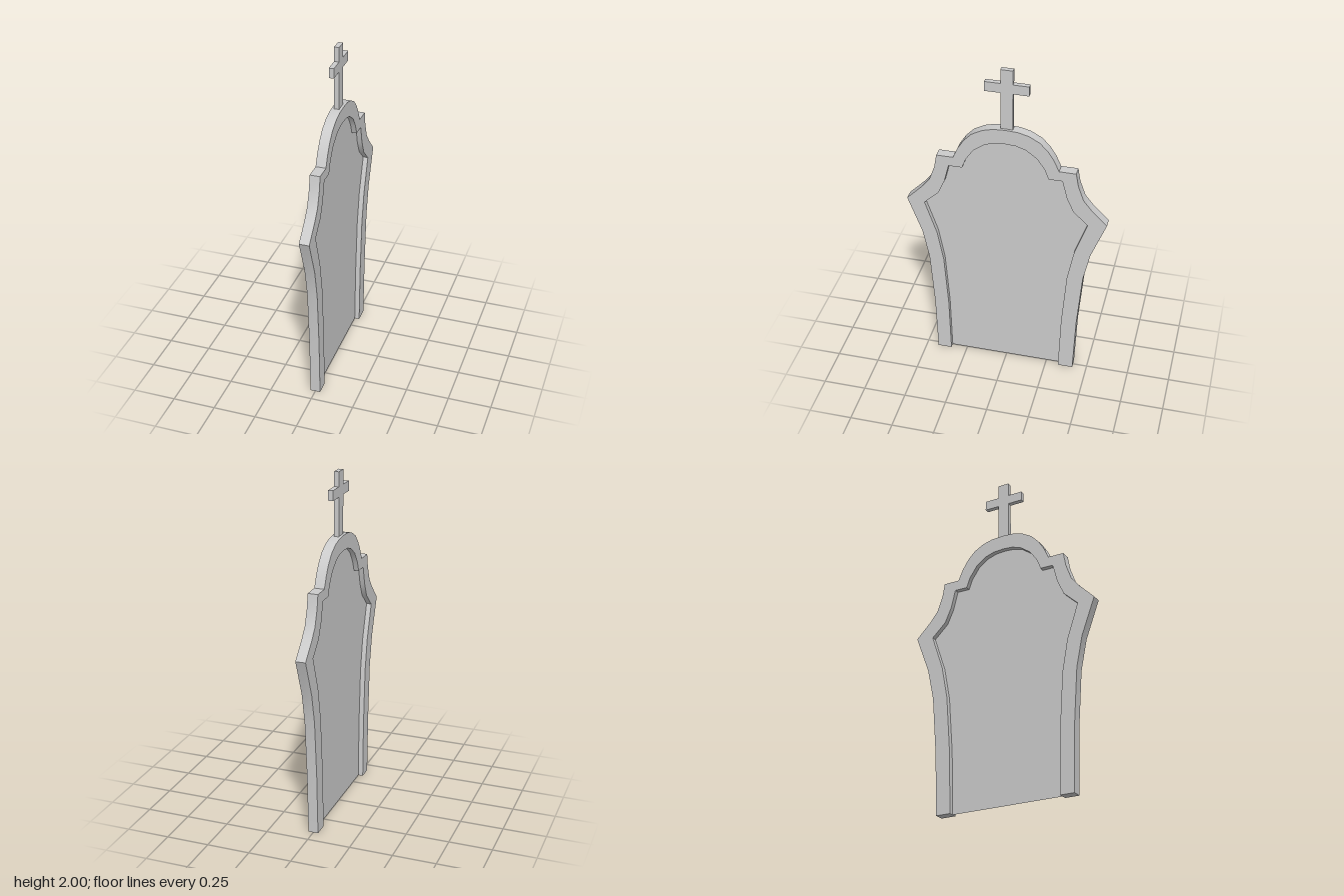
import * as THREE from 'three';
import { toCreasedNormals } from 'three/addons/utils/BufferGeometryUtils.js';

// Half profiles: [half width, height], from the foot to the crown
const OUTER = [
  [0.422, 0], [0.433, 0.36], [0.458, 0.7], [0.495, 0.88], [0.577, 1.1],
  [0.488, 1.19], [0.44, 1.25], [0.408, 1.34], [0.394, 1.42], [0.299, 1.42],
  [0.27, 1.485], [0.235, 1.54], [0.19, 1.587], [0.13, 1.62], [0.07, 1.636], [0, 1.64],
];
const INNER = [
  [0.336, 0], [0.345, 0.36], [0.368, 0.69], [0.403, 0.88], [0.472, 1.085],
  [0.388, 1.165], [0.35, 1.25], [0.322, 1.36], [0.245, 1.36],
  [0.222, 1.42], [0.177, 1.485], [0.115, 1.53], [0.06, 1.548], [0, 1.552],
];

// Mirrors a half profile into a full outline; the foot leans slightly to one side
function outline(half, shift) {
  const lean = (y) => shift + 0.006 * Math.max(0, 1 - y / 1.1);
  const right = half.map(([w, y]) => new THREE.Vector2(w + lean(y), y));
  const left = half.slice(0, -1).reverse().map(([w, y]) => new THREE.Vector2(-w + lean(y), y));
  return [...right, ...left];
}

// Extrudes a shape drawn in (z, y), centred on x = 0
function slab(shape, depth) {
  const geo = new THREE.ExtrudeGeometry(shape, { depth, bevelEnabled: false });
  geo.translate(0, 0, -depth / 2).rotateY(-Math.PI / 2);
  return toCreasedNormals(geo, 0.5);
}

export function createModel() {
  const group = new THREE.Group();
  const material = new THREE.MeshStandardMaterial({ color: 0xcccccc });
  const add = (name, geometry, mat = material) => {
    const mesh = new THREE.Mesh(geometry, mat);
    mesh.name = name;
    group.add(mesh);
  };

  // Raised border, open at the foot
  const outer = outline(OUTER, 0);
  const inner = outline(INNER, 0.003);
  add('border', slab(new THREE.Shape([...outer, ...inner.slice().reverse()]), 0.058));

  // Thin panel recessed on both faces
  const panel = new THREE.ShapeGeometry(new THREE.Shape(inner)).rotateY(-Math.PI / 2);
  const panelMaterial = material.clone();
  panelMaterial.side = THREE.DoubleSide;
  add('panel', panel, panelMaterial);

  // Cross on the crown
  const post = 0.034, arm = 0.122, armLow = 1.86, armHigh = 1.917, foot = 1.637;
  const half = [[post, foot], [post, armLow], [arm, armLow], [arm, armHigh], [post, armHigh], [post, 2]];
  const cross = [
    ...half.map(([w, y]) => new THREE.Vector2(w - 0.003, y)),
    ...half.slice().reverse().map(([w, y]) => new THREE.Vector2(-w - 0.003, y)),
  ];
  add('cross', slab(new THREE.Shape(cross), 0.028));

  return group;
}
